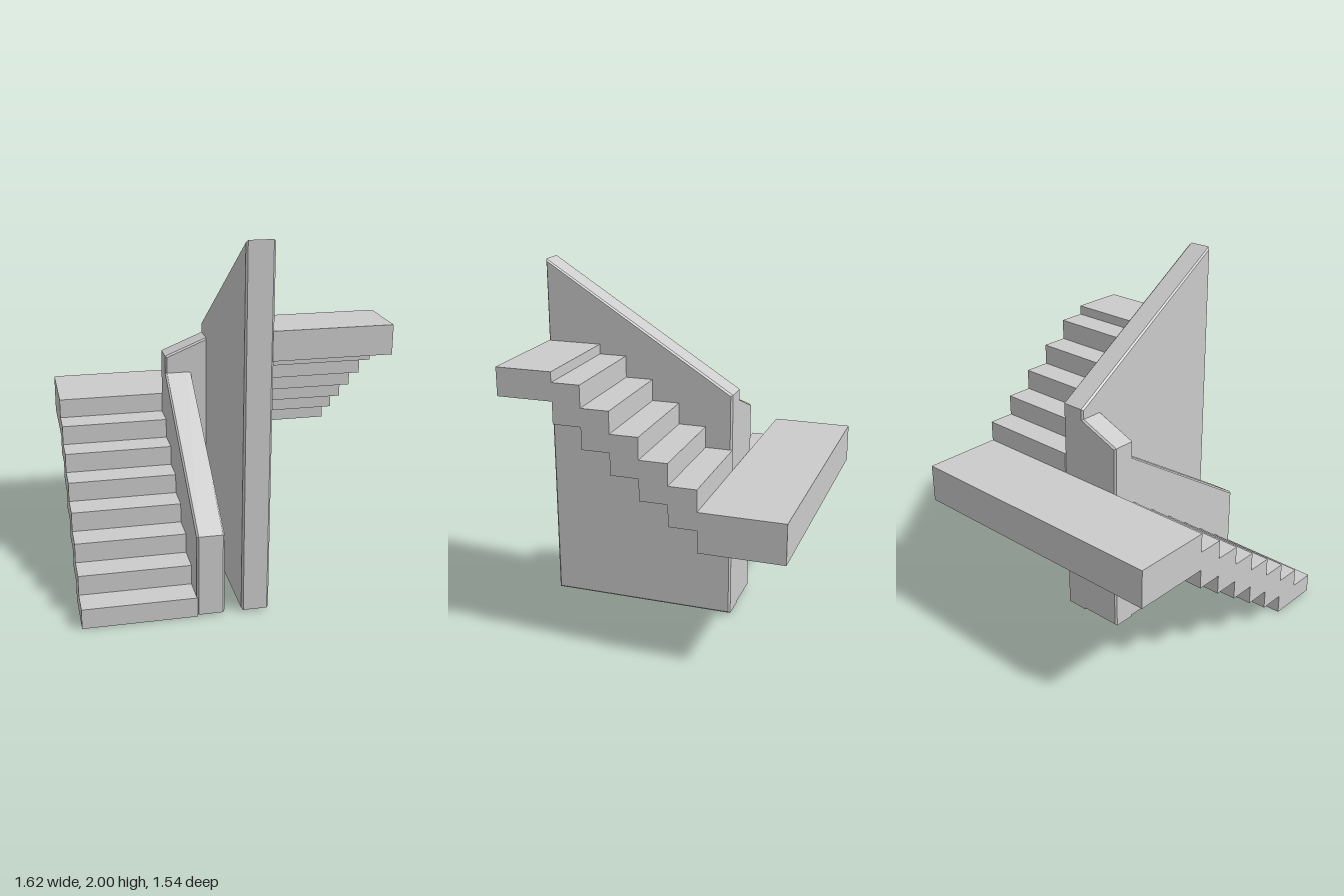
import * as THREE from 'three';

const material = new THREE.MeshStandardMaterial({ color: 0xcccccc, flatShading: true });
const TREAD = 0.154, BACK = -0.308, FRONT = 0.77, OUTER = 0.808;

// Extrude an outline to a given depth, optionally with small chamfers inside the outline
function prism(name, points, depth, bevel = 0) {
  const shape = new THREE.Shape(points.map(([a, b]) => new THREE.Vector2(a, b)));
  const geometry = new THREE.ExtrudeGeometry(shape, {
    depth: depth - 2 * bevel, bevelEnabled: bevel > 0, bevelSegments: 1,
    bevelThickness: bevel, bevelSize: bevel, bevelOffset: -bevel,
  });
  geometry.translate(0, 0, bevel);
  const mesh = new THREE.Mesh(geometry, material);
  mesh.name = name;
  return mesh;
}

// Side outline given as (z, y), spanning x0 to x1
function sidePrism(name, points, x0, x1, bevel) {
  const mesh = prism(name, points, x1 - x0, bevel);
  mesh.geometry.rotateY(-Math.PI / 2);
  mesh.position.x = x1;
  return mesh;
}

// Stepped slab from a list of [zStart, zEnd, bottom, top] slices
function flight(name, slices, x0, x1) {
  const top = [], bottom = [];
  for (const [za, zb, low, high] of slices) {
    top.push([za, high], [zb, high]);
    bottom.push([za, low], [zb, low]);
  }
  // neighbouring slices can share a corner, so drop repeats
  const outline = [...bottom, ...top.reverse()].filter((p, i, all) => {
    const q = all[(i + all.length - 1) % all.length];
    return Math.hypot(p[0] - q[0], p[1] - q[1]) > 1e-6;
  });
  return sidePrism(name, outline, x0, x1, 0);
}

export function createModel() {
  const group = new THREE.Group();
  group.name = 'staircase';

  // Lower flight: seven steps rising to the back
  const rise = 0.1113;
  const lower = [];
  for (let k = 7; k >= 1; k--) {
    const z = FRONT - k * TREAD;
    lower.push([z, z + TREAD, Math.max(0, (k - 2) * rise), k * rise]);
  }
  group.add(flight('lowerFlight', lower, -OUTER, -0.195));

  // Half landing across the back
  group.add(sidePrism('halfLanding',
    [[-0.77, 0.668], [BACK, 0.668], [BACK, 0.89], [-0.77, 0.89]], -OUTER, OUTER, 0));

  // Upper flight: five steps rising to the front, then the top landing
  const upper = [];
  for (let k = 0; k < 5; k++) {
    const z = BACK + k * TREAD;
    upper.push([z, z + TREAD, 0.79 + k * 0.12, 1.01 + k * 0.12]);
  }
  upper.push([BACK + 5 * TREAD, FRONT, 1.39, 1.545]);
  group.add(flight('upperFlight', upper, 0.185, OUTER));

  // Chamfered U-shaped core wall with sloping tops
  const base = 0.01, bevel = 0.01, wallBack = -0.305;
  group.add(sidePrism('tallWall',
    [[wallBack, base], [FRONT, base], [FRONT, 2], [wallBack, 1.32]], 0.042, 0.19, bevel));
  group.add(sidePrism('lowWall',
    [[-0.25, base], [FRONT, base], [FRONT, 0.465], [-0.25, 1.12]], -0.2, -0.05, bevel));
  const backWall = prism('backWall',
    [[-0.2, base], [0.1, base], [0.1, 1.285], [-0.2, 1.163]], 0.145, bevel);
  backWall.position.z = wallBack;
  group.add(backWall);

  return group;
}
